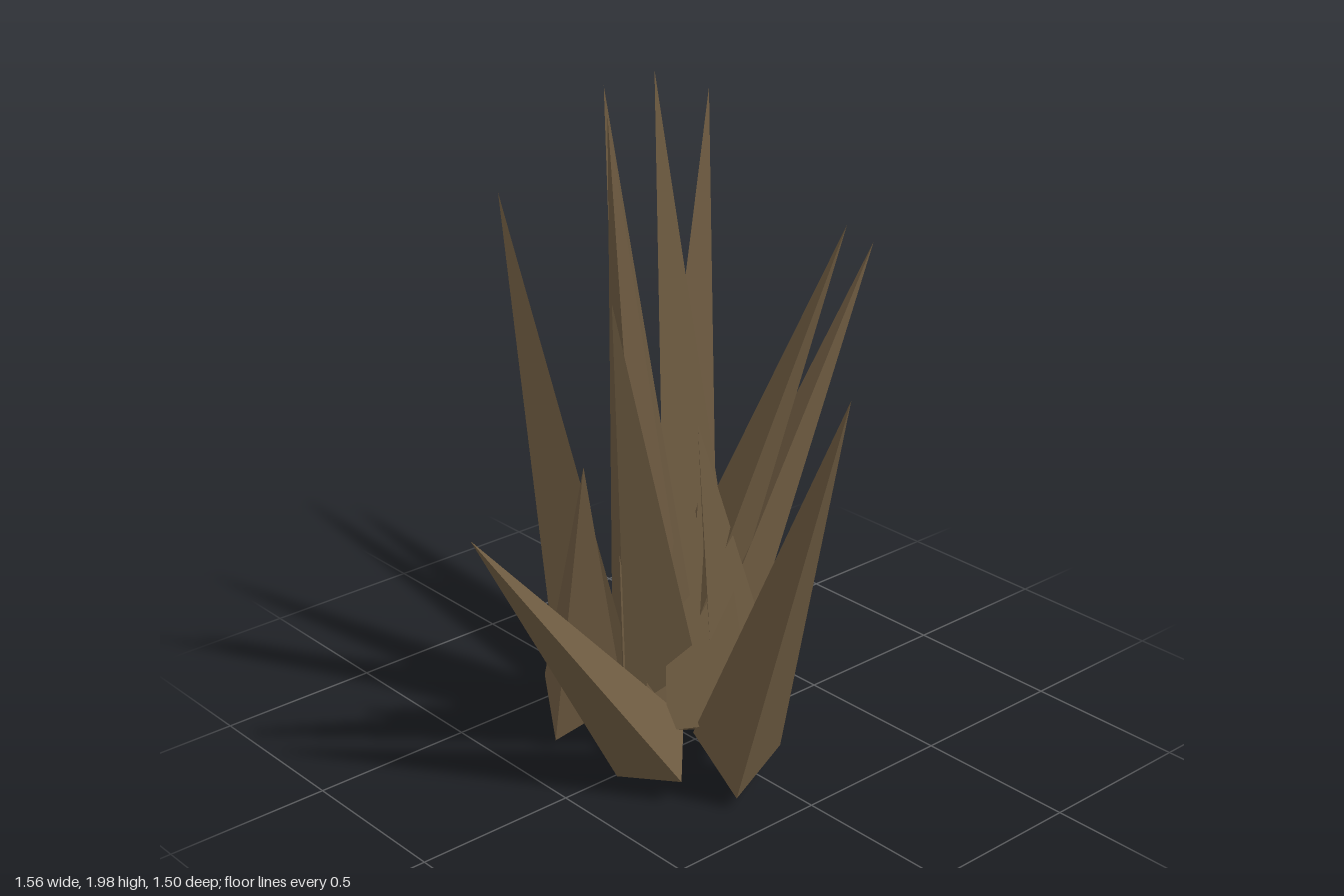
import * as THREE from 'three';

const RADIUS = 0.15;

// Each spike: tip, centre of its three-sided base, and the way one base corner points.
const SPIKES = [
  // tall spikes leaning to the back right
  { tip: [-0.78, 1.82, -0.53], base: [0.16, 0.14, 0.06], corner: [0.12, 0.08, -0.03] },
  { tip: [-0.63, 1.78, -0.62], base: [-0.11, 0.08, -0.03], corner: [-0.09, -0.06, -0.1] },
  // tall upright spikes
  { tip: [-0.36, 1.95, 0.02], base: [-0.05, 0.08, 0.08], corner: [0, 0, 0.15] },
  { tip: [-0.28, 1.75, 0.46], base: [-0.29, 0.08, 0.1], corner: [-0.09, 0, -0.12] },
  { tip: [-0.02, 1.99, 0.29], base: [-0.12, 0.06, 0.06], corner: [0.11, 0, 0.11] },
  // spikes leaning to the left and back
  { tip: [0.2, 1.59, -0.39], base: [-0.12, 0.09, 0.03], corner: [0.1, 0, 0.1] },
  { tip: [0.36, 1.64, 0.6], base: [-0.12, 0.1, 0.05], corner: [0.04, 0, 0.14] },
  { tip: [0.78, 1.39, 0.17], base: [0.27, 0.09, 0.08], corner: [0.09, -0.07, 0.09] },
  { tip: [-0.04, 1.4, -0.75], base: [-0.05, 0.09, 0], corner: [0.05, -0.07, -0.13] },
  // short spikes
  { tip: [-0.07, 0.88, 0.75], base: [0.11, 0.08, 0.233], corner: [-0.1, -0.075, 0.077] },
  { tip: [0, 1.02, 0.41], base: [-0.3, 0.08, 0.22], corner: [-0.14, 0.04, 0] },
  { tip: [0, 1.03, -0.01], base: [0.08, 0.09, -0.1], corner: [0.09, 0.01, -0.11] },
  { tip: [-0.1, 0.72, -0.1], base: [-0.08, 0.07, 0], corner: [0.1, 0, 0.08] },
];

function makeSpike({ tip, base, corner }, material) {
  const top = new THREE.Vector3(...tip);
  const foot = new THREE.Vector3(...base);
  const axis = top.clone().sub(foot);
  const length = axis.length();
  axis.normalize();

  // base corner direction, made square to the axis
  const out = new THREE.Vector3(...corner).projectOnPlane(axis).normalize();
  const side = new THREE.Vector3().crossVectors(axis, out);

  const geometry = new THREE.ConeGeometry(RADIUS, length, 3);
  geometry.translate(0, length / 2, 0);
  geometry.applyMatrix4(new THREE.Matrix4().makeBasis(side, axis, out).setPosition(foot));
  return new THREE.Mesh(geometry, material);
}

export function createModel() {
  const model = new THREE.Group();
  model.name = 'spikeCluster';

  const brown = new THREE.MeshStandardMaterial({ color: 0x6e5b41 });
  brown.name = 'dryBrown';
  brown.flatShading = true;

  SPIKES.forEach((spec, i) => {
    const spike = makeSpike(spec, brown);
    spike.name = `spike${i + 1}`;
    model.add(spike);
  });
  return model;
}
